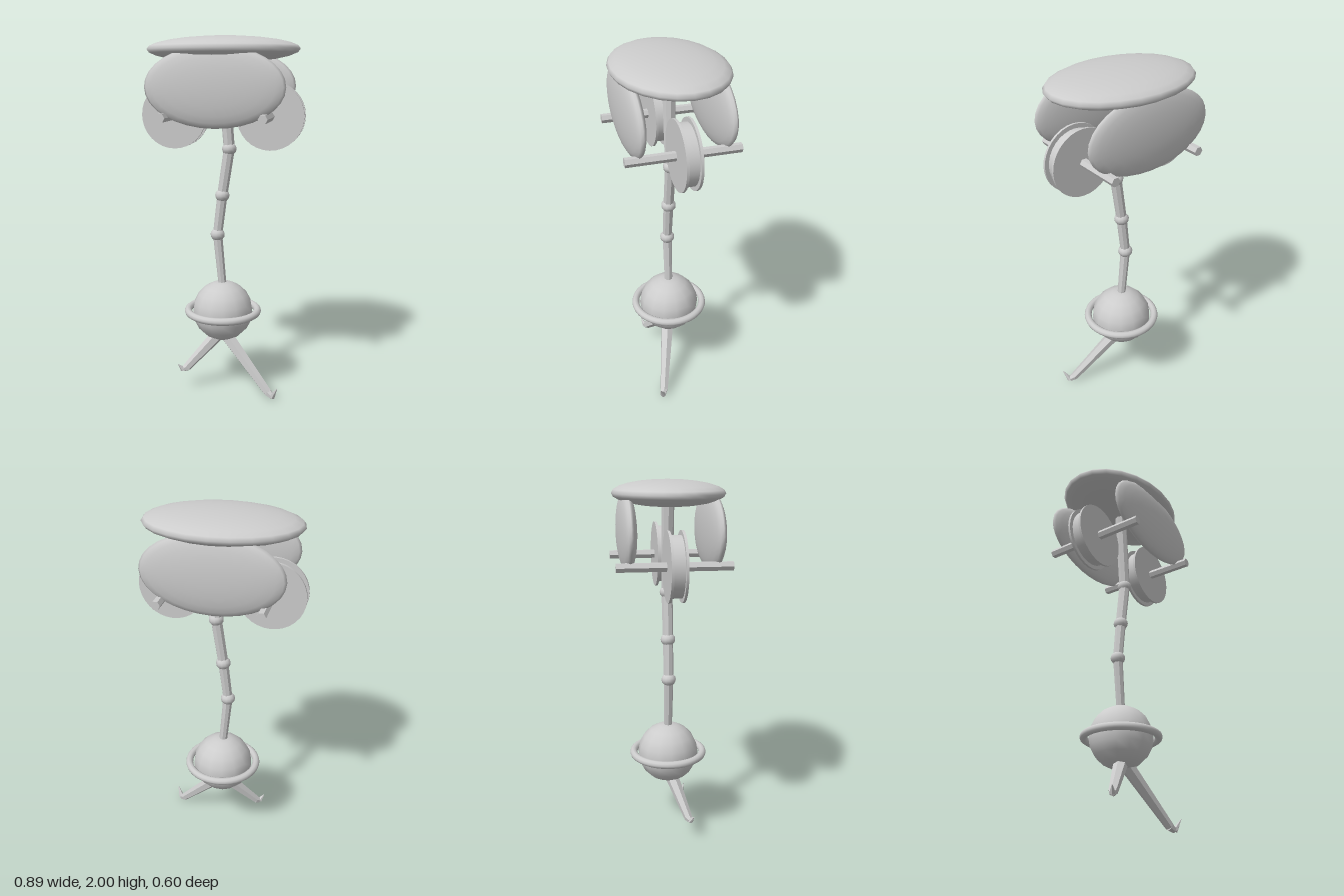
import * as THREE from 'three';

const grey = new THREE.MeshStandardMaterial({ color: 0xcccccc });
grey.name = 'plain grey';
const V = (x, y, z) => new THREE.Vector3(x, y, z);

function part(group, name, geometry, x = 0, y = 0, z = 0) {
  const mesh = new THREE.Mesh(geometry, grey);
  mesh.name = name;
  mesh.position.set(x, y, z);
  group.add(mesh);
  return mesh;
}

// Split shared corners so every face is shaded flat
function faceted(geometry) {
  const g = geometry.toNonIndexed();
  g.computeVertexNormals();
  return g;
}

// Faceted tapered rod from a to b
function rod(group, name, a, b, ra, rb, sides = 6) {
  const dir = b.clone().sub(a);
  const mesh = part(group, name, faceted(new THREE.CylinderGeometry(rb, ra, dir.length(), sides)));
  mesh.position.copy(a).add(b).multiplyScalar(0.5);
  mesh.quaternion.setFromUnitVectors(V(0, 1, 0), dir.normalize());
  return mesh;
}

// Disc or drum lying along z
const disc = (r, depth) => new THREE.CylinderGeometry(r, r, depth, 32).rotateX(Math.PI / 2);

export function createModel() {
  const model = new THREE.Group();
  model.name = 'walkingMachine';

  // Oval canopy
  part(model, 'canopy', new THREE.SphereGeometry(1, 24, 12).scale(0.415, 0.07, 0.298), 0, 1.93, 0);

  // Oval side shells, front and back
  for (const s of [1, -1]) {
    const shell = new THREE.SphereGeometry(1, 32, 12).rotateX(Math.PI / 2).scale(0.37, 0.21, 0.05);
    part(model, s > 0 ? 'frontShell' : 'backShell', shell, 0, 1.735, s * 0.224);
  }

  // Spools: a drum between two flanges on a hexagonal axle
  for (const s of [1, -1]) {
    const spool = new THREE.Group();
    spool.name = s > 0 ? 'leftSpool' : 'rightSpool';
    spool.position.set(s * 0.265, 1.58, 0);
    part(spool, 'drum', disc(0.158, 0.06));
    for (const f of [1, -1]) part(spool, 'flange', disc(0.181, 0.013), 0, 0, f * 0.036);
    const axle = new THREE.CylinderGeometry(0.025, 0.025, 0.596, 6).rotateY(Math.PI / 6).rotateX(Math.PI / 2);
    part(spool, 'axle', faceted(axle));
    model.add(spool);
  }

  // Jointed stem
  const stem = [V(0, 0.6, 0), V(-0.03, 0.915, 0), V(-0.003, 1.14, 0), V(0.036, 1.4, 0), V(-0.005, 1.9, 0)];
  const radii = [0.023, 0.027, 0.029, 0.031, 0.034];
  for (let i = 0; i < 4; i++) {
    rod(model, 'stemSegment', stem[i], stem[i + 1], radii[i], radii[i + 1], 8);
    if (i > 0) {
      const p = stem[i];
      part(model, 'stemJoint', new THREE.SphereGeometry(1, 12, 8).scale(0.041, 0.036, 0.041), p.x, p.y, p.z);
    }
  }

  // Round body with a ring
  part(model, 'body', new THREE.SphereGeometry(0.173, 14, 10), 0, 0.468, 0);
  part(model, 'bodyRing', new THREE.TorusGeometry(0.199, 0.021, 10, 40).rotateX(Math.PI / 2), 0, 0.468, 0);

  // Two legs with upturned claws: hip, ankle, toe, claw tip
  const legs = {
    leftLeg: [V(0.01, 0.34, 0.01), V(0.285, 0.035, 0.112), V(0.312, 0.018, 0.125), V(0.341, 0.08, 0.15)],
    rightLeg: [V(-0.01, 0.34, 0.01), V(-0.193, 0.135, 0.09), V(-0.214, 0.123, 0.1), V(-0.238, 0.157, 0.116)],
  };
  for (const [name, [hip, ankle, toe, tip]] of Object.entries(legs)) {
    const leg = new THREE.Group();
    leg.name = name;
    rod(leg, 'shin', hip, ankle, 0.04, 0.024);
    rod(leg, 'foot', ankle, toe, 0.024, 0.016);
    rod(leg, 'claw', toe, tip, 0.017, 0.002);
    model.add(leg);
  }
  return model;
}
